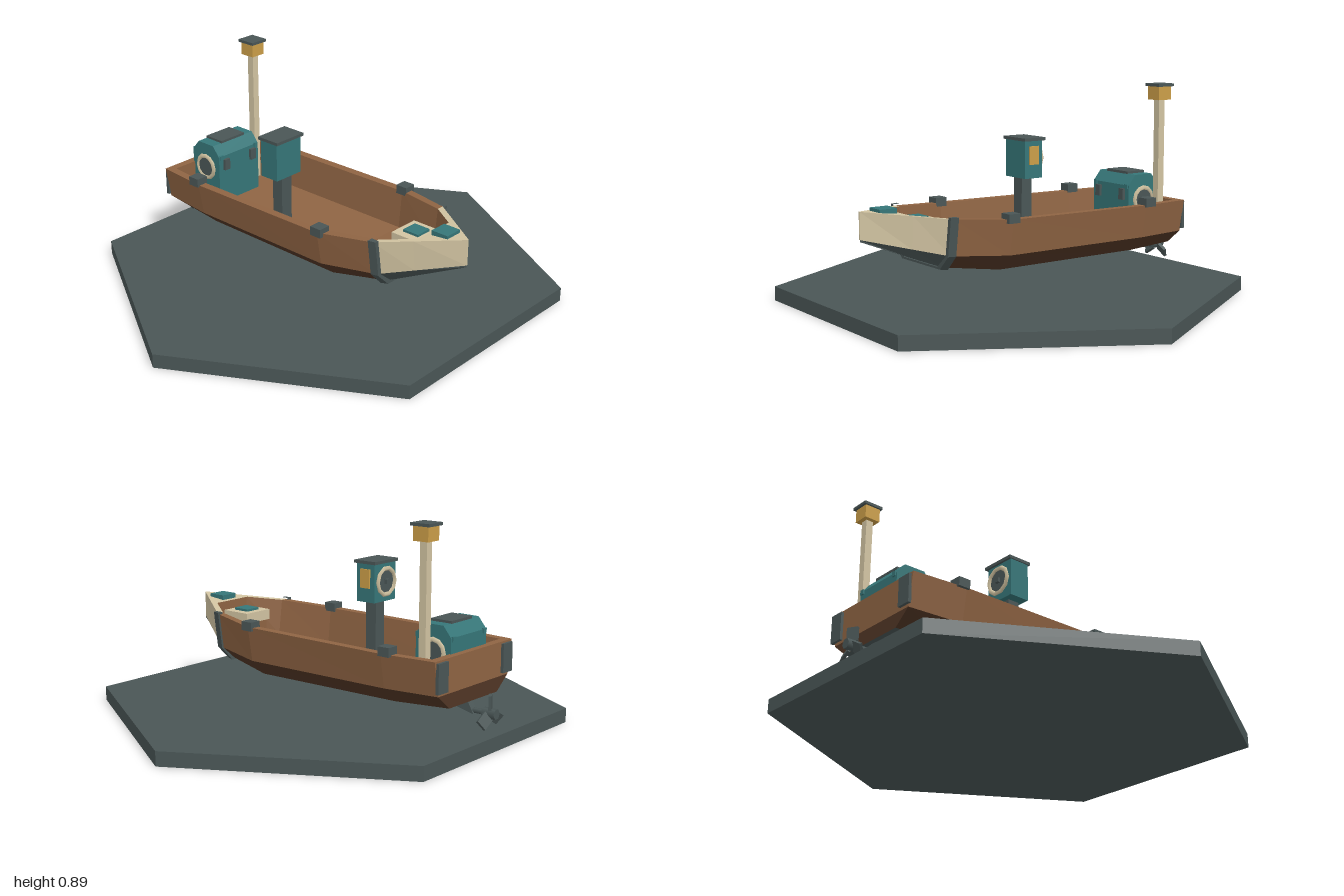
import * as THREE from 'three';

const paint = (name, color) => Object.assign(new THREE.MeshStandardMaterial({ color }), { name });

export function createModel() {
  const model = new THREE.Group();
  const slate = paint('slate', 0x4a5656);
  const brown = paint('wood', 0x8f6443);
  const darkWood = paint('darkWood', 0x513625);
  const beige = paint('cream', 0xd2c4a2);
  const teal = paint('teal', 0x367678);
  const gold = paint('lampGold', 0xcb9e48);

  const add = (name, geo, mat, x = 0, y = 0, z = 0, parent = model) => {
    const mesh = new THREE.Mesh(geo, mat);
    mesh.name = name;
    mesh.position.set(x, y, z);
    parent.add(mesh);
    return mesh;
  };
  // box given by its extents
  const box = (name, mat, x0, x1, y0, y1, z0, z1) =>
    add(name, new THREE.BoxGeometry(x1 - x0, y1 - y0, z1 - z0), mat,
      (x0 + x1) / 2, (y0 + y1) / 2, (z0 + z1) / 2);
  // flat-shaded mesh from counter-clockwise quads
  const quads = (name, mat, list) => {
    const pos = list.flatMap(([a, b, c, d]) => [a, b, c, a, c, d].flat());
    const geo = new THREE.BufferGeometry();
    geo.setAttribute('position', new THREE.Float32BufferAttribute(pos, 3));
    geo.computeVertexNormals();
    return add(name, geo, mat);
  };
  // quads of one strip (segment j) between two cross-sections
  const strip = (s, t, j) => {
    const k = (j + 1) % s.length;
    return [s[j], s[k], t[k], t[j]];
  };

  // Hexagonal base
  const base = new THREE.CylinderGeometry(1, 1, 0.06, 6).toNonIndexed();
  base.computeVertexNormals();
  add('base', base, slate, 0, 0.03, 0);

  // Hull rows: x, sheer y, half, chine y, half, keel y, half, inner x, inner half, floor y, half
  const rows = [
    [-0.74, 0.378, 0.265, 0.238, 0.24, 0.178, 0.165, -0.705, 0.232, 0.22, 0.215],
    [-0.5, 0.378, 0.287, 0.236, 0.262, 0.17, 0.19, -0.5, 0.25, 0.22, 0.232],
    [0.2, 0.385, 0.287, 0.236, 0.262, 0.167, 0.19, 0.2, 0.25, 0.22, 0.232],
    [0.44, 0.4, 0.222, 0.25, 0.2, 0.195, 0.135, 0.44, 0.19, 0.245, 0.17],
  ];
  const tip = [0.737, 0.43, 0.003, 0.318, 0.003, 0.31, 0.002];
  const mid = rows[3].slice(0, 7).map((v, i) => THREE.MathUtils.lerp(v, tip[i], 0.43));
  rows.push([...mid, 0.57, 0.095, 0.29, 0.085]);
  rows.push([...tip, 0.737, 0.002, 0.4, 0.002]);
  // closed section: outside +z to -z, then inside -z to +z
  const section = ([x, sy, sh, cy, ch, ky, kh, ix, ih, fy, fh]) => [
    [x, sy, sh], [x, cy, ch], [x, ky, kh], [x, ky, -kh], [x, cy, -ch], [x, sy, -sh],
    [ix, sy, -ih], [ix, fy, -fh], [ix, fy, fh], [ix, sy, ih]];
  const s = rows.map(section);
  const run = (from, to, segs) => {
    const out = [];
    for (let i = from; i < to; i++) for (const j of segs) out.push(strip(s[i], s[i + 1], j));
    return out;
  };
  const st = s[0], f = s[4], bow = s[5];
  quads('hullSides', brown, [
    ...run(0, 3, [0, 4, 5, 9]),
    [st[5], st[4], st[1], st[0]],
    [st[5], st[0], st[9], st[6]],
  ]);
  quads('hullInterior', brown, [
    ...run(0, 4, [6, 7, 8]),
    [st[9], st[8], st[7], st[6]],
    [f[6], f[7], f[8], f[9]],
  ]);
  quads('bilge', darkWood, [...run(0, 3, [1, 3]), [st[4], st[3], st[2], st[1]]]);
  quads('keelBottom', slate, [...run(0, 5, [2]), ...run(3, 5, [1, 3])]);
  quads('bow', beige, [
    ...run(3, 5, [0, 4]), ...run(3, 4, [5, 9]),
    [f[5], f[0], bow[0], bow[5]],
    [bow[0], bow[1], bow[4], bow[5]],
  ]);

  // Dark frame wrapped round the hull where the bow begins
  const hoop = (x, g) => [[x, 0.408, 0.222 + g], [x, 0.25, 0.2 + g], [x, 0.193 - g / 2, 0.138 + g],
    [x, 0.193 - g / 2, -0.138 - g], [x, 0.25, -0.2 - g], [x, 0.408, -0.222 - g]];
  const o0 = hoop(0.425, 0.014), o1 = hoop(0.458, 0.006);
  const i0 = hoop(0.425, -0.012), i1 = hoop(0.458, -0.012);
  const frame = [];
  for (let j = 0; j < 5; j++) {
    frame.push(strip(o0, o1, j));
    frame.push([o0[j], i0[j], i0[j + 1], o0[j + 1]]);
    frame.push([o1[j], o1[j + 1], i1[j + 1], i1[j]]);
  }
  frame.push([i0[0], o0[0], o1[0], i1[0]], [o0[5], i0[5], i1[5], o1[5]]);
  quads('bowFrame', slate, frame);

  // Gunwale blocks and stern corner plates
  for (const side of [-1, 1]) {
    for (const x of [-0.52, 0.2])
      add('gunwaleBlock', new THREE.BoxGeometry(0.054, 0.038, 0.054), slate, x, 0.39, side * 0.27);
    add('sternPlate', new THREE.BoxGeometry(0.014, 0.12, 0.065), slate, -0.745, 0.31, side * 0.222);
  }

  // Bow seat and hatch
  box('bowSeatBody', brown, 0.42, 0.54, 0.24, 0.335, -0.065, 0.065);
  box('bowSeatTop', beige, 0.41, 0.548, 0.335, 0.38, -0.072, 0.072);
  box('bowSeatCushion', teal, 0.442, 0.518, 0.38, 0.39, -0.037, 0.037);
  box('bowHatch', teal, 0.588, 0.667, 0.412, 0.436, -0.04, 0.04);

  // Lamp post
  box('lampPost', beige, -0.661, -0.629, 0.22, 0.82, -0.216, -0.184);
  box('lamp', gold, -0.68, -0.61, 0.82, 0.88, -0.235, -0.165);
  box('lampCap', slate, -0.69, -0.602, 0.878, 0.89, -0.243, -0.157);

  // Engine housing with chamfered top
  const prism = (outline, depth) => {
    const shape = new THREE.Shape(outline.map(([x, y]) => new THREE.Vector2(x, y)));
    return new THREE.ExtrudeGeometry(shape, { depth, bevelEnabled: false }).translate(0, 0, -depth / 2);
  };
  add('engineHousing', prism([[-0.712, 0.22], [-0.545, 0.22], [-0.545, 0.44], [-0.582, 0.485],
    [-0.675, 0.485], [-0.712, 0.44]], 0.24), teal);
  box('engineTopPlate', slate, -0.677, -0.58, 0.484, 0.495, -0.07, 0.07);
  for (const side of [-1, 1]) {
    add('engineRing', new THREE.TorusGeometry(0.05, 0.011, 4, 12), beige, -0.629, 0.375, side * 0.122);
    const port = add('enginePort', new THREE.CylinderGeometry(0.042, 0.042, 0.008, 12), slate,
      -0.629, 0.375, side * 0.122);
    port.rotation.x = Math.PI / 2;
    add('engineClasp', new THREE.BoxGeometry(0.016, 0.05, 0.03), slate, -0.54, 0.4, side * 0.08);
    add('engineRib', new THREE.BoxGeometry(0.178, 0.02, 0.02), teal, -0.629, 0.435, side * 0.105);
  }

  // Control console with floor duct, wheel and gauge
  box('floorDuct', slate, -0.54, -0.1, 0.215, 0.248, 0.12, 0.165);
  box('consolePost', slate, -0.175, -0.122, 0.22, 0.487, 0.098, 0.155);
  box('consoleHead', teal, -0.2, -0.108, 0.485, 0.65, 0.055, 0.197);
  box('consoleCap', slate, -0.21, -0.1, 0.648, 0.661, 0.045, 0.202);
  box('consoleGauge', gold, -0.178, -0.13, 0.545, 0.625, 0.048, 0.056);
  const wheel = add('steeringWheel', new THREE.TorusGeometry(0.057, 0.01, 4, 10), beige, -0.208, 0.57, 0.126);
  wheel.rotation.y = Math.PI / 2;
  const dial = add('wheelDisc', new THREE.CylinderGeometry(0.05, 0.05, 0.006, 10), slate, -0.202, 0.57, 0.126);
  dial.rotation.z = Math.PI / 2;
  box('wheelHub', slate, -0.218, -0.2, 0.56, 0.58, 0.116, 0.136);

  // Skeg and propeller
  add('skeg', prism([[-0.75, 0.125], [-0.55, 0.172], [-0.72, 0.178]], 0.03), slate);
  const shaft = add('propellerShaft', new THREE.CylinderGeometry(0.011, 0.011, 0.1, 6), slate, -0.79, 0.138, 0);
  shaft.rotation.z = Math.PI / 2;
  const propeller = new THREE.Group();
  propeller.name = 'propeller';
  propeller.position.set(-0.818, 0.138, 0);
  const hub = add('propellerHub', new THREE.CylinderGeometry(0.022, 0.022, 0.06, 6), slate, 0, 0, 0, propeller);
  hub.rotation.z = Math.PI / 2;
  for (let i = 0; i < 3; i++) {
    const arm = new THREE.Group();
    arm.name = 'propellerBlade';
    arm.rotation.x = i * Math.PI * 2 / 3;
    const blade = add('blade', new THREE.BoxGeometry(0.012, 0.058, 0.046), slate, 0, 0.045, 0, arm);
    blade.rotation.y = 0.5;
    propeller.add(arm);
  }
  model.add(propeller);

  return model;
}
